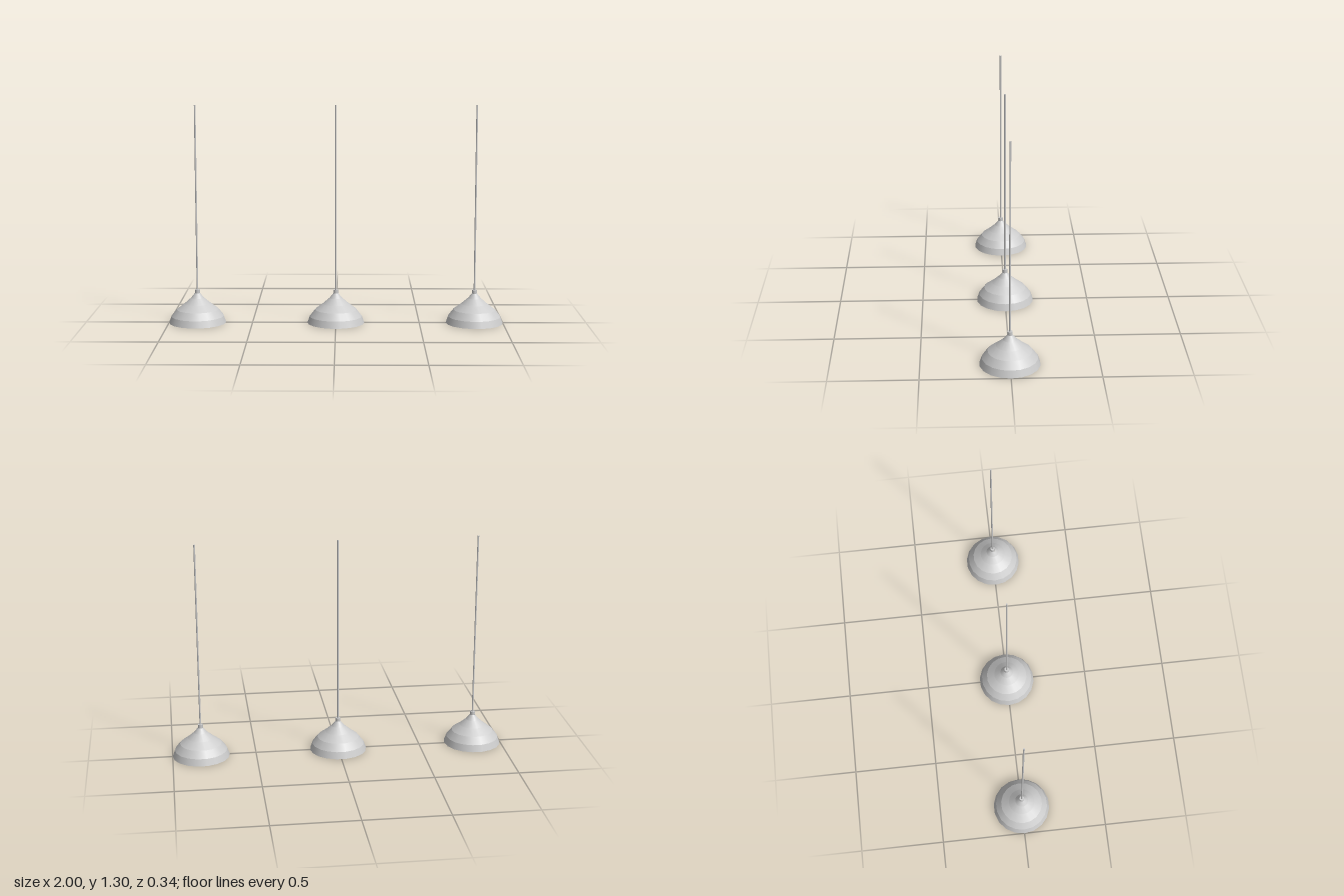
import * as THREE from 'three';
import { mergeGeometries } from 'three/addons/utils/BufferGeometryUtils.js';

const SIDES = 18;
const SPACING = 0.829;

// Shade outline from rim to neck: [radius, height]
const SHADE = [[0.171, 0], [0.157, 0.04], [0.125, 0.081], [0.078, 0.116], [0.039, 0.15], [0.015, 0.179]];

// One lathe per band keeps the rings crisp and the sides smooth
function shadeGeometry() {
  const bands = SHADE.slice(1).map((p, i) =>
    new THREE.LatheGeometry([new THREE.Vector2(...SHADE[i]), new THREE.Vector2(...p)], SIDES));
  return mergeGeometries(bands).rotateY(Math.PI / 2);
}

export function createModel() {
  const model = new THREE.Group();
  model.name = 'pendantLamps';
  const material = new THREE.MeshStandardMaterial({ color: 0xcccccc });
  const shadeMaterial = new THREE.MeshStandardMaterial({ color: 0xcccccc, side: THREE.DoubleSide });

  const parts = {
    shade: shadeGeometry(),
    // Flat disc closing the underside
    diffuser: new THREE.CircleGeometry(SHADE[0][0], SIDES).rotateX(Math.PI / 2),
    // Collar joining shade and rod
    collar: new THREE.CylinderGeometry(0.0145, 0.0145, 0.024, 12).translate(0, 0.188, 0),
    rod: new THREE.CylinderGeometry(0.005, 0.005, 1.105, 8).translate(0, 0.7515, 0),
  };

  // Three identical lamps in a row
  ['rightLamp', 'middleLamp', 'leftLamp'].forEach((name, i) => {
    const lamp = new THREE.Group();
    lamp.name = name;
    lamp.position.x = (i - 1) * SPACING;
    for (const [part, geometry] of Object.entries(parts)) {
      const mesh = new THREE.Mesh(geometry, part === 'shade' ? shadeMaterial : material);
      mesh.name = part;
      lamp.add(mesh);
    }
    model.add(lamp);
  });
  return model;
}
